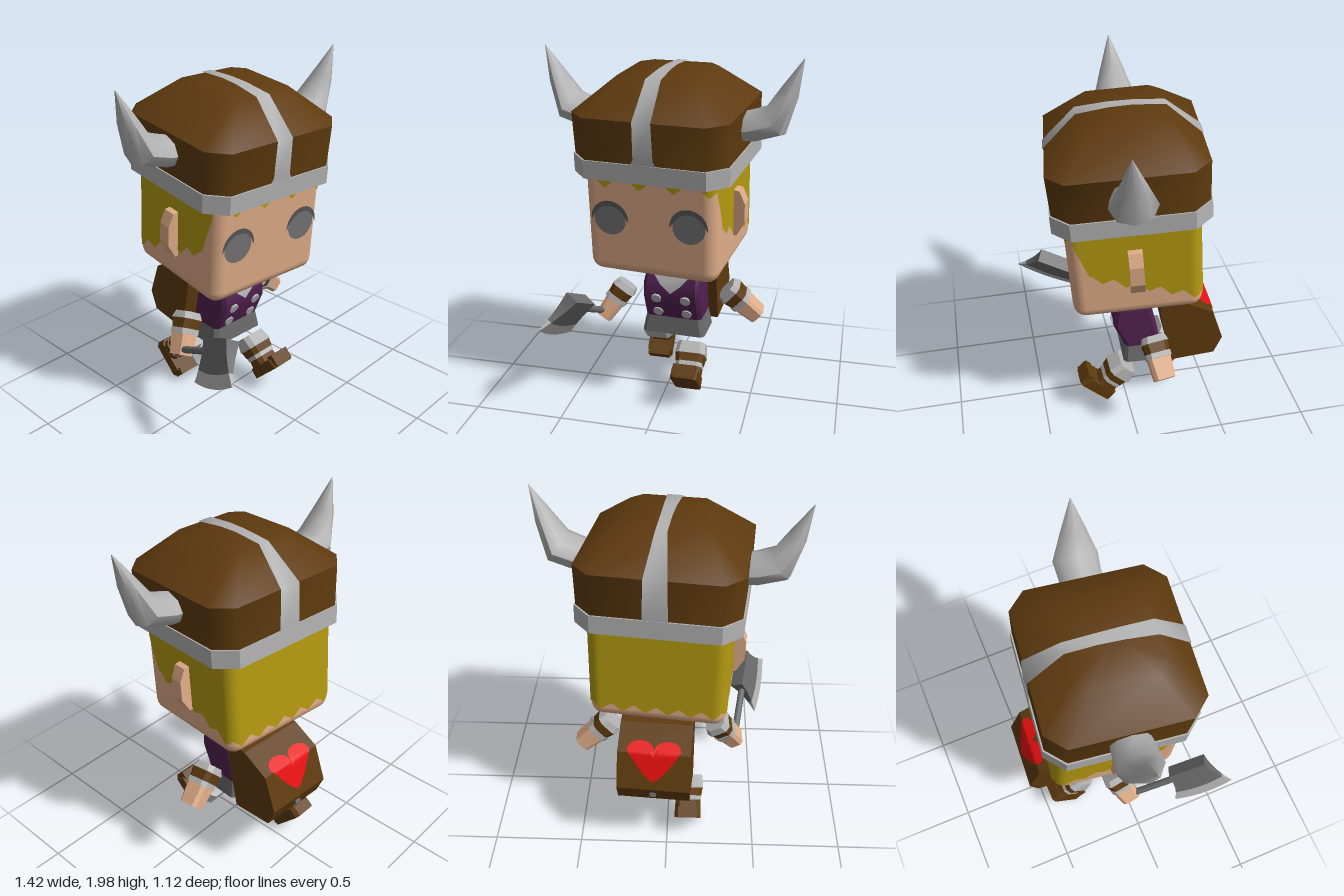
import * as THREE from 'three';
import { toCreasedNormals } from 'three/addons/utils/BufferGeometryUtils.js';
import { RoundedBoxGeometry } from 'three/addons/geometries/RoundedBoxGeometry.js';

const V = (x, y, z) => new THREE.Vector3(x, y, z);
const material = (name, color, side = THREE.FrontSide) => {
  const m = new THREE.MeshStandardMaterial({ color, side });
  m.name = name;
  return m;
};

const brown = material('leather brown', 0x5e3a0e);
const silver = material('silver grey', 0xb2b2b2);
const steel = material('dark steel', 0x6a6a6a);
const skin = material('skin', 0xe0ac88);
const blonde = material('blonde hair', 0xb49a10);
const purple = material('purple cloth', 0x50204f);
const red = material('red', 0xf01010, THREE.DoubleSide);
const eyeGrey = material('eye grey', 0x747474);
const lashGrey = material('lash grey', 0x585858);

function add(parent, name, geometry, mat, x = 0, y = 0, z = 0) {
  const mesh = new THREE.Mesh(geometry, mat);
  mesh.name = name;
  mesh.position.set(x, y, z);
  parent.add(mesh);
  return mesh;
}

function group(parent, name, x = 0, y = 0, z = 0) {
  const g = new THREE.Group();
  g.name = name;
  g.position.set(x, y, z);
  parent.add(g);
  return g;
}

// Skin between cross-sections; closed sections run counter-clockwise about the path
function loft(rings, { closed = true, cap = true, crease = 0.7 } = {}) {
  const n = rings[0].length, pts = rings.flat(), index = [];
  for (let i = 0; i < rings.length - 1; i++)
    for (let j = 0; j < (closed ? n : n - 1); j++) {
      const k = (j + 1) % n, a = i * n + j, b = i * n + k, c = b + n, d = a + n;
      index.push(a, b, c, a, c, d);
    }
  if (closed && cap) {
    const last = (rings.length - 1) * n;
    for (let j = 1; j < n - 1; j++) index.push(0, j + 1, j, last, last + j, last + j + 1);
  }
  const g = new THREE.BufferGeometry().setFromPoints(pts);
  g.setIndex(index);
  return toCreasedNormals(g, crease);
}

// Rectangle with cut corners
function ring(hx, hz, c, y, zc = 0) {
  const a = hx - c, b = hz - c;
  return [[hx, b], [hx, -b], [a, -hz], [-a, -hz], [-hx, -b], [-hx, b], [-a, hz], [a, hz]]
    .map(([x, z]) => V(x, y, z + zc));
}
const block = (y0, y1, hx, hz, hx1 = hx, hz1 = hz, c = 0.025) =>
  loft([ring(hx, hz, c, y0), ring(hx1, hz1, c, y1)]);

// Strip centred on x = 0 through [y, z, half width] points
const ribbon = (rows) => loft(rows.map(([y, z, w]) => [V(-w, y, z), V(w, y, z)]), { closed: false, crease: 0.9 });

function buildHead(root) {
  const head = group(root, 'head', 0.012, 1.15, -0.045);
  head.rotation.set(0.07, -0.12, 0, 'YXZ');
  add(head, 'face', new RoundedBoxGeometry(0.73, 0.66, 0.7, 3, 0.07), skin, 0, 0.03, 0);

  // Hair wraps the head with a ragged lower edge
  const hx = 0.369, hz = 0.354, r = 0.07, N = 256, low = [], high = [];
  const corners = [[hx, hz], [hx, -hz], [-hx, -hz], [-hx, hz]];
  const tooth = (v, size) => Math.abs(((v / size) % 1 + 1) % 1 - 0.5) * 2;
  for (let i = 0; i < N; i++) {
    const s = Math.floor(i * 4 / N), t = i * 4 / N - s, p = corners[s], q = corners[(s + 1) % 4];
    const px = p[0] + (q[0] - p[0]) * t, pz = p[1] + (q[1] - p[1]) * t;
    const cx = THREE.MathUtils.clamp(px, r - hx, hx - r), cz = THREE.MathUtils.clamp(pz, r - hz, hz - r);
    const d = V(px - cx, 0, pz - cz).setLength(r), x = cx + d.x, z = cz + d.z;
    let y;
    if (s === 3 || z > 0.31) y = 0.285 - 0.085 * tooth(x + 0.05, 0.19);
    else if (z > 0.24) y = -0.02 + (z - 0.24) * 3;
    else y = -0.1 + z * 0.33 + 0.045 * (tooth(s === 1 ? x : z, 0.12) - 0.5);
    low.push(V(x, y, z));
    high.push(V(x, 0.32, z));
  }
  add(head, 'hair', loft([low, high], { cap: false }), blonde);

  // Eyes with a thick upper lash
  for (const s of [-1, 1]) {
    add(head, 'eye', new THREE.CircleGeometry(0.09, 24), eyeGrey, s * 0.22, 0.025, 0.354);
    const lash = new THREE.Shape();
    lash.absarc(0, 0, 0.105, -0.1, Math.PI + 0.1, false);
    lash.quadraticCurveTo(-0.06, 0.08, 0, 0.075);
    lash.quadraticCurveTo(0.06, 0.08, 0.104, -0.01);
    add(head, 'eyelash', new THREE.ShapeGeometry(lash, 16), lashGrey, s * 0.22, 0.025, 0.357);
  }

  // Ears
  const ear = new THREE.Shape([[0.34, -0.13], [0.385, -0.13], [0.43, -0.05], [0.43, 0.06], [0.4, 0.13], [0.34, 0.14]]
    .map(([x, y]) => new THREE.Vector2(x, y)));
  const earGeo = new THREE.ExtrudeGeometry(ear, { depth: 0.075, bevelEnabled: false }).translate(0, 0, -0.0375);
  for (const a of [0, Math.PI]) add(head, 'ear', earGeo, skin).rotation.y = a;

  // Helmet dome, rim band and crest stripe
  const helmet = group(head, 'helmet');
  add(helmet, 'helmetDome', loft([
    ring(0.42, 0.4, 0.095, 0.265), ring(0.42, 0.4, 0.095, 0.365), ring(0.425, 0.405, 0.095, 0.585),
    ring(0.225, 0.225, 0.06, 0.75), ring(0.06, 0.06, 0.02, 0.765)], { crease: 0.85 }), brown);
  add(helmet, 'helmetBand', loft([ring(0.428, 0.408, 0.097, 0.262), ring(0.428, 0.408, 0.097, 0.362)]), silver);
  add(helmet, 'helmetStripe', ribbon([[0.36, 0.406, 0.07], [0.39, 0.407, 0.054], [0.587, 0.411, 0.05],
    [0.757, 0.228, 0.042], [0.772, 0.06, 0.034], [0.772, -0.06, 0.03], [0.757, -0.228, 0.03],
    [0.587, -0.411, 0.06], [0.36, -0.406, 0.065]]), silver);

  // Horns: base, elbow, upward point
  const hornRing = (x, y, a, b, tilt) => Array.from({ length: 8 }, (_, i) => {
    const t = i * Math.PI / 4, u = a * Math.cos(t);
    return V(x - u * Math.sin(tilt), y + u * Math.cos(tilt), b * Math.sin(t));
  });
  const horn = loft([hornRing(0.36, 0.475, 0.08, 0.095, 0), hornRing(0.46, 0.49, 0.085, 0.11, 0.15),
    hornRing(0.58, 0.53, 0.088, 0.12, 0.6), hornRing(0.645, 0.68, 0.05, 0.066, 1.1),
    hornRing(0.712, 0.85, 0.002, 0.002, 1.2)], { crease: 0.9 });
  for (const a of [0, Math.PI]) add(helmet, 'horn', horn, silver).rotation.y = a;
}

function buildBody(root) {
  const body = group(root, 'body', 0.035, 0, 0);
  body.rotation.y = -0.05;
  add(body, 'skirt', loft([ring(0.185, 0.115, 0.02, 0.365, -0.095), ring(0.165, 0.105, 0.02, 0.47, -0.095)]), steel);
  add(body, 'tunic', loft([ring(0.165, 0.105, 0.02, 0.47, -0.095), ring(0.165, 0.122, 0.02, 0.62, -0.048),
    ring(0.163, 0.11, 0.02, 0.7, -0.04), ring(0.155, 0.085, 0.02, 0.775, -0.055)]), purple);
  add(body, 'collar', ribbon([[0.65, 0.079, 0.002], [0.7, 0.076, 0.06], [0.774, 0.036, 0.125]]), silver);
  for (const x of [-0.085, 0.085])
    for (const [y, z] of [[0.61, 0.071], [0.51, 0.03]])
      add(body, 'button', new THREE.CylinderGeometry(0.03, 0.03, 0.012, 12), silver, x, y, z).rotation.x = Math.PI / 2 + 0.4;

  // Backpack with a heart folded over its upper edge
  const pack = group(root, 'backpack', 0.035, 0, 0);
  pack.rotation.y = -0.07;
  const side = new THREE.Shape([[0.26, 0.37], [0.51, 0.4], [0.555, 0.51], [0.48, 0.71], [0.32, 0.79], [0.24, 0.8], [0.185, 0.77], [0.2, 0.66]]
    .map(([x, y]) => new THREE.Vector2(x, y)));
  const bag = new THREE.ExtrudeGeometry(side, { depth: 0.4, bevelEnabled: false }).translate(0, 0, -0.2).rotateY(Math.PI / 2);
  add(pack, 'bag', bag, brown);
  const heart = new THREE.PlaneGeometry(2, 1, 24, 20), p = heart.attributes.position;
  for (let i = 0; i < p.count; i++) {
    const u = p.getX(i), a = Math.abs(u), v = p.getY(i) + 0.5;
    const top = 0.07 - 0.055 * Math.sqrt(Math.max(0, 1 - (2 * a - 1) ** 2));
    const bottom = 0.07 + 0.185 * (1 - a ** 1.4);
    const s = bottom + (top - bottom) * v - 0.09;
    const [dz, dy] = s < 0 ? [-0.894, -0.447] : [-0.351, -0.936];
    p.setXYZ(i, -u * 0.15, 0.715 + dy * s, -0.486 + dz * s);
  }
  heart.computeVertexNormals();
  add(pack, 'heart', heart, red);
  add(pack, 'clasp', new THREE.BoxGeometry(0.035, 0.03, 0.012), steel, 0, 0.465, -0.54).rotation.x = 0.4;
}

function buildArm(root, name, from, to) {
  const arm = group(root, name, ...from.toArray());
  arm.quaternion.setFromUnitVectors(V(0, -1, 0), to.clone().sub(from).normalize());
  add(arm, 'upperCuff', block(-0.04, 0, 0.072, 0.075, 0.06, 0.062), silver);
  add(arm, 'sleeve', block(-0.095, -0.04, 0.062, 0.066, 0.068, 0.072), brown);
  add(arm, 'wristCuff', block(-0.125, -0.095, 0.066, 0.07), silver);
  add(arm, 'hand', block(-0.245, -0.125, 0.048, 0.058, 0.056, 0.064, 0.018), skin);
}

function buildLeg(root, name, x, y, z, angle) {
  const leg = group(root, name, x, y, z);
  leg.rotation.x = angle;
  add(leg, 'kneeCuff', block(-0.065, 0.01, 0.088, 0.078, 0.08, 0.058), silver);
  add(leg, 'legWrap', block(-0.11, -0.065, 0.078, 0.066, 0.084, 0.072), brown);
  add(leg, 'ankleCuff', block(-0.135, -0.11, 0.076, 0.064), silver);
  add(leg, 'bootShaft', block(-0.19, -0.135, 0.075, 0.064, 0.072, 0.058), brown);
  add(leg, 'bootFoot', loft([ring(0.075, 0.12, 0.02, -0.238, 0.04), ring(0.075, 0.11, 0.02, -0.175, 0.035)]), brown);
  add(leg, 'bootToe', new THREE.BoxGeometry(0.13, 0.07, 0.045), brown, 0, -0.195, 0.14);
}

function buildAxe(root) {
  const axe = group(root, 'axe', -0.415, 0.685, 0.32);
  // Local x runs along the handle, local y towards the cutting edge
  const h = V(-0.05, 0.15, 0.3).normalize(), b = V(-0.14, -0.19, 0.07);
  b.addScaledVector(h, -b.dot(h)).normalize();
  axe.quaternion.setFromRotationMatrix(new THREE.Matrix4().makeBasis(h, b, h.clone().cross(b)));
  const handle = add(axe, 'axeHandle', new THREE.CylinderGeometry(0.02, 0.02, 0.46, 8), steel, -0.2, 0.065, 0);
  handle.rotation.z = Math.PI / 2;
  const blade = (v0, v1) => {
    const g = new THREE.BoxGeometry(2, 1, 2, 10, 5, 1), p = g.attributes.position;
    for (let i = 0; i < p.count; i++) {
      const u = p.getX(i), v = v0 + (v1 - v0) * (p.getY(i) + 0.5);
      p.setXYZ(i, u * (0.115 + 0.07 * v * v), v * (0.235 + 0.025 * (1 - u * u)), p.getZ(i) * (0.04 * (1 - v) + 0.002));
    }
    return toCreasedNormals(g, 0.6);
  };
  add(axe, 'axeBlade', blade(0, 0.72), steel);
  add(axe, 'axeEdge', blade(0.72, 1), silver);
}

export function createModel() {
  const root = new THREE.Group();
  root.name = 'axeWarrior';
  buildHead(root);
  buildBody(root);
  buildArm(root, 'leftArm', V(0.325, 0.635, -0.11), V(0.52, 0.465, -0.14));
  buildArm(root, 'rightArm', V(-0.265, 0.615, -0.09), V(-0.4, 0.41, -0.02));
  buildLeg(root, 'leftLeg', 0.15, 0.3, 0.01, -0.78);
  buildLeg(root, 'rightLeg', -0.12, 0.3, -0.235, 0.82);
  buildAxe(root);
  return root;
}
